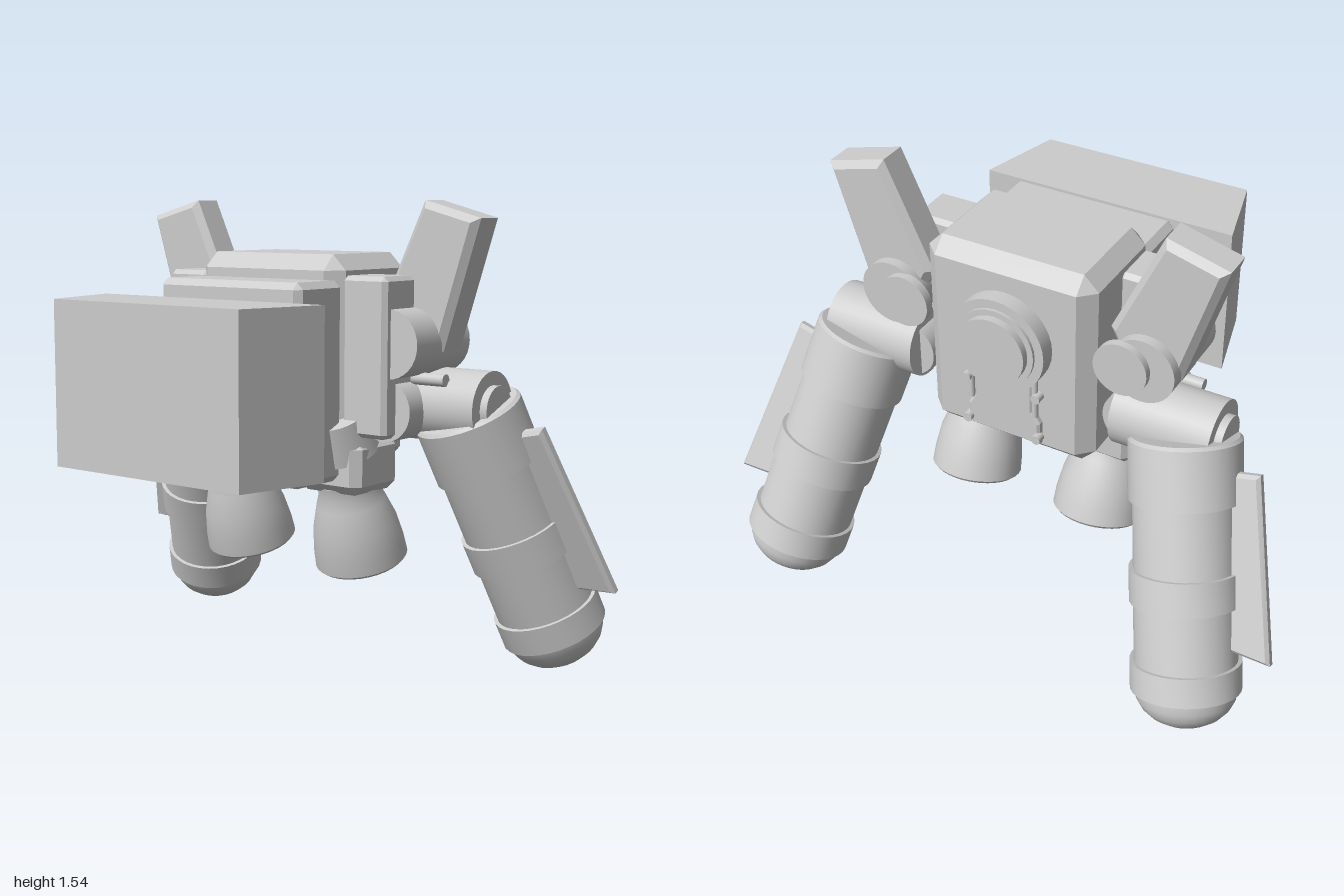
import * as THREE from 'three';
import { toCreasedNormals } from 'three/addons/utils/BufferGeometryUtils.js';
import { ConvexGeometry } from 'three/addons/geometries/ConvexGeometry.js';

const grey = new THREE.MeshStandardMaterial({ color: 0xcccccc });
grey.name = 'light grey';

function add(parent, name, geometry, x = 0, y = 0, z = 0) {
  const mesh = new THREE.Mesh(geometry, grey);
  mesh.name = name;
  mesh.position.set(x, y, z);
  parent.add(mesh);
  return mesh;
}

// Box with every edge cut off by c
function chamferBox(w, h, d, c) {
  const pts = [];
  for (const i of [-1, 1]) for (const j of [-1, 1]) for (const k of [-1, 1]) {
    const [x, y, z] = [w / 2, h / 2, d / 2];
    pts.push(
      new THREE.Vector3(i * x, j * (y - c), k * (z - c)),
      new THREE.Vector3(i * (x - c), j * y, k * (z - c)),
      new THREE.Vector3(i * (x - c), j * (y - c), k * z));
  }
  return new ConvexGeometry(pts);
}

const lathe = (pts, sides = 32) => toCreasedNormals(
  new THREE.LatheGeometry(pts.map(p => new THREE.Vector2(p[0], p[1])), sides), 0.6);

const cylX = (r, l) => new THREE.CylinderGeometry(r, r, l, 32).rotateZ(Math.PI / 2);
const cylZ = (r, l) => new THREE.CylinderGeometry(r, r, l, 32).rotateX(Math.PI / 2);

// Bevelled plate cut from an outline in x and y, centred on z
function plate(points, depth, bevel) {
  const shape = new THREE.Shape(points.map(p => new THREE.Vector2(p[0], p[1])));
  const geo = new THREE.ExtrudeGeometry(shape, {
    depth: depth - 2 * bevel, bevelEnabled: true, bevelThickness: bevel,
    bevelSize: bevel, bevelOffset: -bevel, bevelSegments: 1
  });
  return geo.translate(0, 0, bevel - depth / 2);
}

// Leg thruster: shaft, three bands and a dome, running down local -y
function legGeometry() {
  const pts = [];
  for (let i = 0; i <= 6; i++) {
    const a = (i / 6) * Math.PI / 2;
    pts.push([0.165 * Math.sin(a), -0.82 - 0.125 * Math.cos(a)]);
  }
  pts.push([0.178, -0.82], [0.178, -0.725], [0.165, -0.725],
    [0.165, -0.53], [0.178, -0.53], [0.178, -0.42], [0.165, -0.42],
    [0.165, -0.2], [0.178, -0.2], [0.178, -0.01], [0.168, 0], [0, 0]);
  return lathe(pts);
}

function addSide(model, s) {
  const side = new THREE.Group();
  side.name = s > 0 ? 'leftSide' : 'rightSide';
  model.add(side);

  // Shoulder bracket and its two joint barrels
  add(side, 'shoulderBracket', chamferBox(0.17, 0.51, 0.17, 0.015), s * 0.37, 1.055, -0.02);
  add(side, 'upperBarrel', cylZ(0.11, 0.3), s * 0.445, 1.1, -0.115);
  add(side, 'barrelCap', cylZ(0.09, 0.03), s * 0.385, 1.1, -0.275);
  add(side, 'lowerBarrel', cylZ(0.1, 0.25), s * 0.41, 0.885, -0.12);

  // Upper wing
  add(side, 'upperWing', plate([
    [s * 0.685, 1.49], [s * 0.48, 1.545], [s * 0.315, 1.19], [s * 0.35, 1.12], [s * 0.555, 1.07]
  ], 0.14, 0.022), 0, 0, -0.16);

  // Hip axle
  add(side, 'hipAxle', cylX(0.12, 0.33), s * 0.525, 0.895, -0.19);
  add(side, 'hipAxleCap', cylX(0.075, 0.03), s * 0.7, 0.895, -0.19);
  add(side, 'hipPin', cylX(0.02, 0.12), s * 0.52, 0.985, -0.09);

  // Leg thruster with outer fin
  const leg = new THREE.Group();
  leg.name = 'legThruster';
  leg.position.set(s * 0.58, 0.88, -0.215);
  leg.quaternion.setFromUnitVectors(new THREE.Vector3(0, -1, 0),
    new THREE.Vector3(s * 0.175, -0.74, -0.285).normalize());
  side.add(leg);
  add(leg, 'legBody', legGeometry());
  add(leg, 'legFin', plate([
    [s * 0.14, -0.1], [s * 0.25, -0.1], [s * 0.285, -0.7], [s * 0.14, -0.67]
  ], 0.045, 0.012));

  // Lower nozzle with mount
  add(side, 'nozzleBlock', chamferBox(0.25, 0.18, 0.24, 0.03), s * 0.24, 0.7, -0.035);
  const mount = add(side, 'nozzleMount', new THREE.CylinderGeometry(0.1, 0.12, 0.13, 24), s * 0.25, 0.8, 0.025);
  mount.rotation.x = 0.4;
  const nozzle = add(side, 'nozzle', lathe([
    [0, 0.22], [0.08, 0.22], [0.12, 0.12], [0.135, 0.01], [0.145, 0], [0.155, 0.01],
    [0.152, 0.06], [0.14, 0.14], [0.115, 0.22], [0.1, 0.26], [0.1, 0.3], [0, 0.3]
  ]), s * 0.24, 0.36, -0.118);
  nozzle.rotation.x = 0.3;
}

export function createModel() {
  const model = new THREE.Group();
  model.name = 'backpackUnit';

  // Main body and chest block
  add(model, 'mainBody', chamferBox(0.59, 0.695, 0.41, 0.05), 0, 1.0275, -0.1);
  add(model, 'chestBlock', chamferBox(0.585, 0.64, 0.23, 0.022), 0, 0.975, 0.175);

  // Floating front block, narrower towards the front
  const block = new THREE.BoxGeometry(0.91, 0.53, 0.3);
  const pos = block.attributes.position;
  for (let i = 0; i < pos.count; i++) {
    if (pos.getZ(i) > 0) pos.setX(i, Math.sign(pos.getX(i)) * 0.38);
  }
  block.computeVertexNormals();
  add(model, 'frontBlock', block, 0, 0.975, 0.52);

  // Round rear port
  add(model, 'portBase', cylZ(0.165, 0.06), 0, 1.1, -0.33);
  add(model, 'portRim', cylZ(0.135, 0.02), 0, 1.1, -0.36);
  add(model, 'portCap', cylZ(0.115, 0.05), 0, 1.1, -0.37);

  // Rear panel with side rails and bolts
  add(model, 'rearPanel', plate([
    [-0.13, 0.74], [0.13, 0.74], [0.13, 0.82], [0.105, 0.86], [0.105, 1.02],
    [-0.105, 1.02], [-0.105, 0.86], [-0.13, 0.82]
  ], 0.04, 0.008), 0, 0, -0.308);
  for (const s of [1, -1]) {
    add(model, 'rearRail', new THREE.CylinderGeometry(0.01, 0.01, 0.16, 12), s * 0.115, 0.93, -0.325);
    for (const y of [0.77, 0.93]) add(model, 'bolt', cylZ(0.016, 0.03), s * 0.125, y, -0.33);
    addSide(model, s);
  }
  return model;
}
